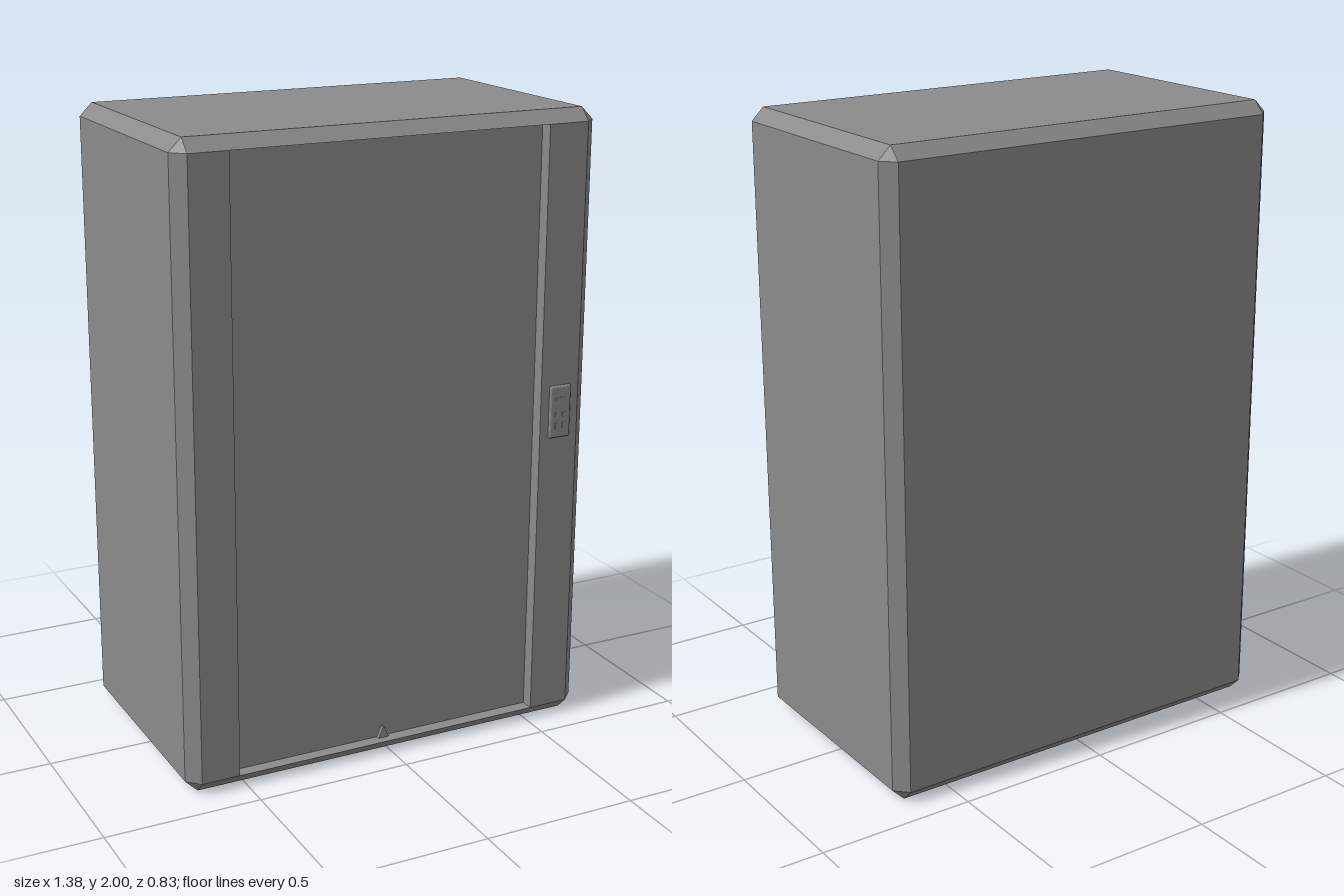
import * as THREE from 'three';
import { RoundedBoxGeometry } from 'three/addons/geometries/RoundedBoxGeometry.js';

const mat = new THREE.MeshStandardMaterial({ color: 0x8b8b8b, flatShading: true, side: THREE.DoubleSide });

const X = 0.69, ZB = -0.415, ZF = 0.403, H = 2, C = 0.04; // outer shell and chamfer
const L = -0.525, R = 0.515;                              // doorway sides
const DOOR_Z = 0.36, SEAM = -0.015;

// Collects four-cornered faces into one flat-shaded geometry
function quads(list) {
  const pos = [];
  for (const [a, b, c, d] of list) pos.push(...a, ...b, ...c, ...a, ...c, ...d);
  const g = new THREE.BufferGeometry();
  g.setAttribute('position', new THREE.Float32BufferAttribute(pos, 3));
  g.computeVertexNormals();
  return g;
}

// Eight-point ring; a capped ring has its corners drawn in to a rectangle
function ring(y, capped) {
  const x = X - C, f = ZF - C, b = ZB + C;
  const ox = capped ? x : X, of = capped ? f : ZF, ob = capped ? b : ZB;
  return [[-x, y, of], [x, y, of], [ox, y, f], [ox, y, b],
    [x, y, ob], [-x, y, ob], [-ox, y, b], [-ox, y, f]];
}

export function createModel() {
  const model = new THREE.Group();
  const add = (name, geo, x = 0, y = 0, z = 0) => {
    const m = new THREE.Mesh(geo, mat);
    m.name = name;
    m.position.set(x, y, z);
    model.add(m);
  };

  // Chamfered shell, open below and at the doorway
  const rings = [ring(0, true), ring(C, false), ring(H - C, false), ring(H, true)];
  const faces = [];
  for (let r = 0; r < 3; r++) {
    for (let i = 0; i < 8; i++) {
      if (r === 1 && i === 0) continue;
      const j = (i + 1) % 8, lo = rings[r], hi = rings[r + 1];
      faces.push([lo[i], lo[j], hi[j], hi[i]]);
    }
  }
  const top = rings[3];
  faces.push([top[0], top[1], top[3], top[5]]);
  add('outerShell', quads(faces));

  // Front posts either side of the doorway
  const y0 = C, y1 = H - C;
  const post = (a, b) => quads([[[a, y0, ZF], [b, y0, ZF], [b, y1, ZF], [a, y1, ZF]]]);
  add('rightFrontPost', post(-X + C, L));
  add('leftFrontPost', post(R, X - C));

  // Cabin lining: side walls, floor and ceiling running back from the doorway
  const zb = ZB + 0.005;
  add('cabinLining', quads([
    [[L, y0, ZF], [L, y0, zb], [L, y1, zb], [L, y1, ZF]],
    [[R, y0, zb], [R, y0, ZF], [R, y1, ZF], [R, y1, zb]],
    [[L, y0, ZF], [R, y0, ZF], [R, y0, zb], [L, y0, zb]],
    [[L, y1, zb], [R, y1, zb], [R, y1, ZF], [L, y1, ZF]],
  ]));

  // Two sliding doors, the right one a hair forward where they meet
  const thick = 0.02;
  for (const [name, a, b, front] of [['rightDoor', L, SEAM, DOOR_Z + 0.002], ['leftDoor', SEAM, R, DOOR_Z]]) {
    add(name, new THREE.BoxGeometry(b - a, y1 - y0, thick), (a + b) / 2, H / 2, front - thick / 2);
  }

  // Small wedge on the sill where the doors meet
  const wedge = new THREE.Shape([[-0.018, 0], [0.018, 0], [0.003, 0.035], [-0.003, 0.035]]
    .map(([x, y]) => new THREE.Vector2(x, y)));
  add('doorStop', new THREE.ExtrudeGeometry(wedge, { depth: 0.015, bevelEnabled: false }), SEAM, y0, DOOR_Z);

  // Call panel with a small display and two columns of buttons
  add('callPanel', new RoundedBoxGeometry(0.075, 0.17, 0.018, 2, 0.006), 0.583, 1.055, ZF);
  add('callDisplay', new THREE.BoxGeometry(0.04, 0.025, 0.003), 0.583, 1.09, ZF + 0.009);
  for (const x of [0.57, 0.596]) {
    for (const y of [1.01, 1.045]) {
      add('callButton', new THREE.BoxGeometry(0.013, 0.018, 0.003), x, y, ZF + 0.009);
    }
  }
  return model;
}
